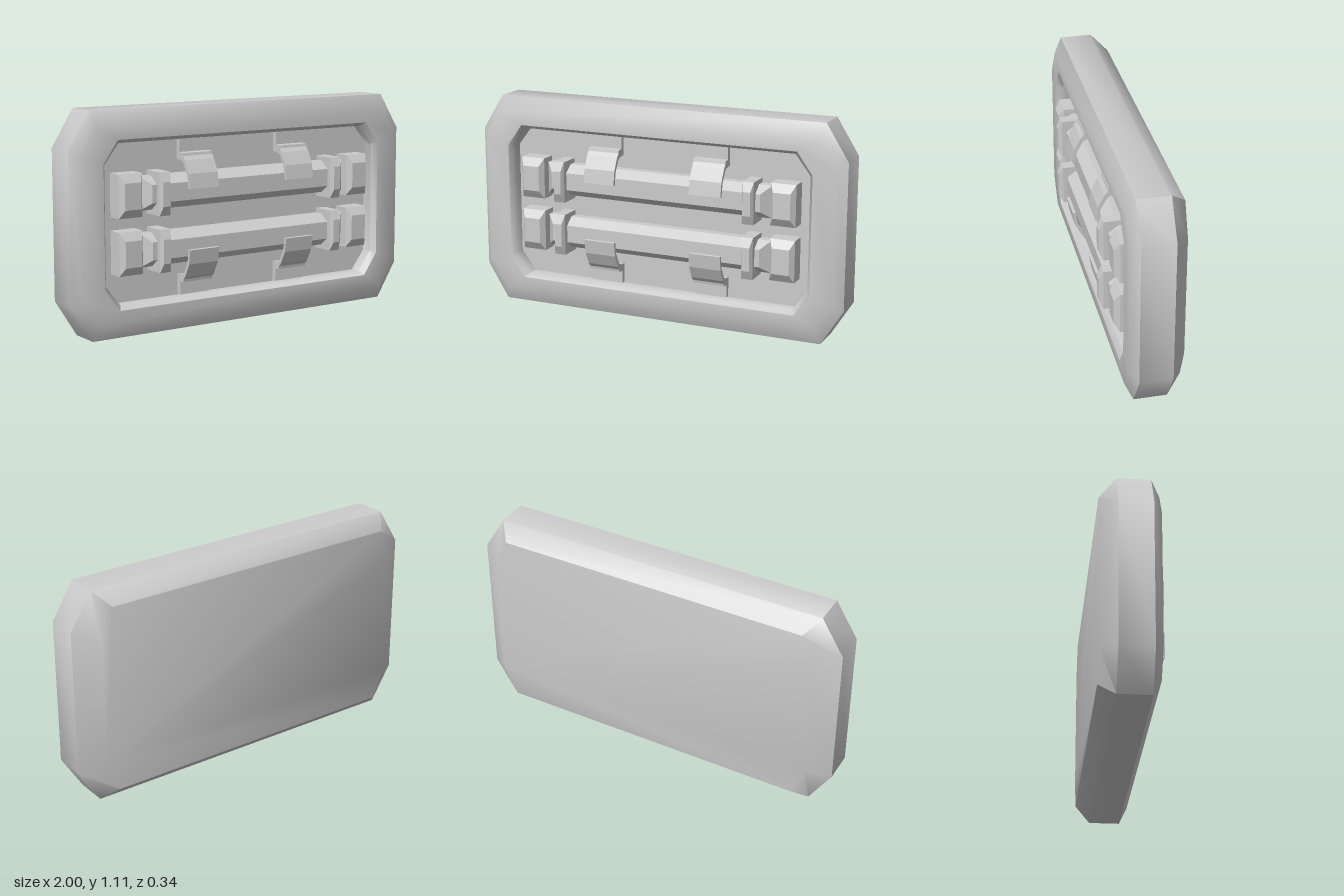
import * as THREE from 'three';
import { toCreasedNormals } from 'three/addons/utils/BufferGeometryUtils.js';

const material = new THREE.MeshStandardMaterial({ color: 0xcccccc });
const MID = 0.556; // height of the middle of the panel

// Outline of a rectangle with cut corners: half sizes w, h; corners start at cw, ch
const octagon = (w, h, cw, ch, z) => [
  [w, -ch, z], [w, ch, z], [cw, h, z], [-cw, h, z],
  [-w, ch, z], [-w, -ch, z], [-cw, -h, z], [cw, -h, z],
];
const rect = (w, h, z) => [[w, -h, z], [w, h, z], [-w, h, z], [-w, -h, z]];

// Closed skin through a list of outlines, capped at both ends
function loft(rings, crease) {
  const n = rings[0].length;
  const pos = rings.flat(2);
  const index = [];
  for (let r = 0; r < rings.length - 1; r++) {
    for (let i = 0; i < n; i++) {
      const a = r * n + i, b = r * n + (i + 1) % n;
      index.push(a, b, b + n, a, b + n, a + n);
    }
  }
  const last = (rings.length - 1) * n;
  for (let i = 1; i < n - 1; i++) {
    index.push(0, i + 1, i);
    index.push(last, last + i, last + i + 1);
  }
  const geo = new THREE.BufferGeometry();
  geo.setAttribute('position', new THREE.Float32BufferAttribute(pos, 3));
  geo.setIndex(index);
  return toCreasedNormals(geo, crease);
}

function add(parent, name, geo, x = 0, y = 0) {
  const mesh = new THREE.Mesh(geo, material);
  mesh.name = name;
  mesh.position.set(x, y, 0);
  parent.add(mesh);
  return mesh;
}

// Spring clip: foot on the floor, step, then a bent tongue over the tube
function clipGeometry(width) {
  const profile = [ // [z, y]
    [0.02, 0.39], [0.055, 0.39], [0.055, 0.325], [0.085, 0.322], [0.088, 0.308],
    [0.105, 0.289], [0.138, 0.225], [0.15, 0.152], [0.135, 0.15], [0.124, 0.215],
    [0.09, 0.275], [0.07, 0.285], [0.02, 0.29],
  ];
  const shape = new THREE.Shape(profile.map(([z, y]) => new THREE.Vector2(-z, y)));
  const geo = new THREE.ExtrudeGeometry(shape, { depth: width, bevelEnabled: false });
  return geo.translate(0, 0, -width / 2).rotateY(Math.PI / 2);
}

export function createModel() {
  const model = new THREE.Group();
  model.name = 'wallLight';

  // Housing: back plate, bevelled sides, front rim and recessed floor in one skin
  add(model, 'housing', loft([
    octagon(0.885, 0.485, 0.82, 0.32, -0.17),
    octagon(1, 0.556, 0.885, 0.372, -0.09),
    octagon(1, 0.556, 0.885, 0.372, 0.075),
    octagon(0.957, 0.475, 0.862, 0.335, 0.115),
    octagon(0.835, 0.413, 0.755, 0.302, 0.115),
    octagon(0.815, 0.394, 0.738, 0.293, 0.085),
    octagon(0.815, 0.394, 0.738, 0.293, 0.03),
  ], 0.75), 0, MID);

  const tube = loft([rect(0.62, 0.083, 0.025), rect(0.62, 0.083, 0.075), rect(0.575, 0.045, 0.125)], 0.3);
  const collar = loft([rect(0.03, 0.107, 0.025), rect(0.03, 0.107, 0.148), rect(0.02, 0.06, 0.17)], 0.3);
  const socket = loft([rect(0.065, 0.107, 0.025), rect(0.065, 0.107, 0.112), rect(0.045, 0.065, 0.14)], 0.3);
  const clip = clipGeometry(0.17);

  // Two identical lamps, the lower one turned half round
  for (const [name, turn] of [['upperLamp', 0], ['lowerLamp', Math.PI]]) {
    const lamp = new THREE.Group();
    lamp.name = name;
    lamp.position.y = MID;
    lamp.rotation.z = turn;
    add(lamp, 'tube', tube, 0, 0.14);
    for (const side of [-1, 1]) {
      add(lamp, 'collar', collar, side * 0.52, 0.14);
      add(lamp, 'socket', socket, side * 0.69, 0.14);
      add(lamp, 'clip', clip, side * 0.292, 0);
    }
    model.add(lamp);
  }
  return model;
}
